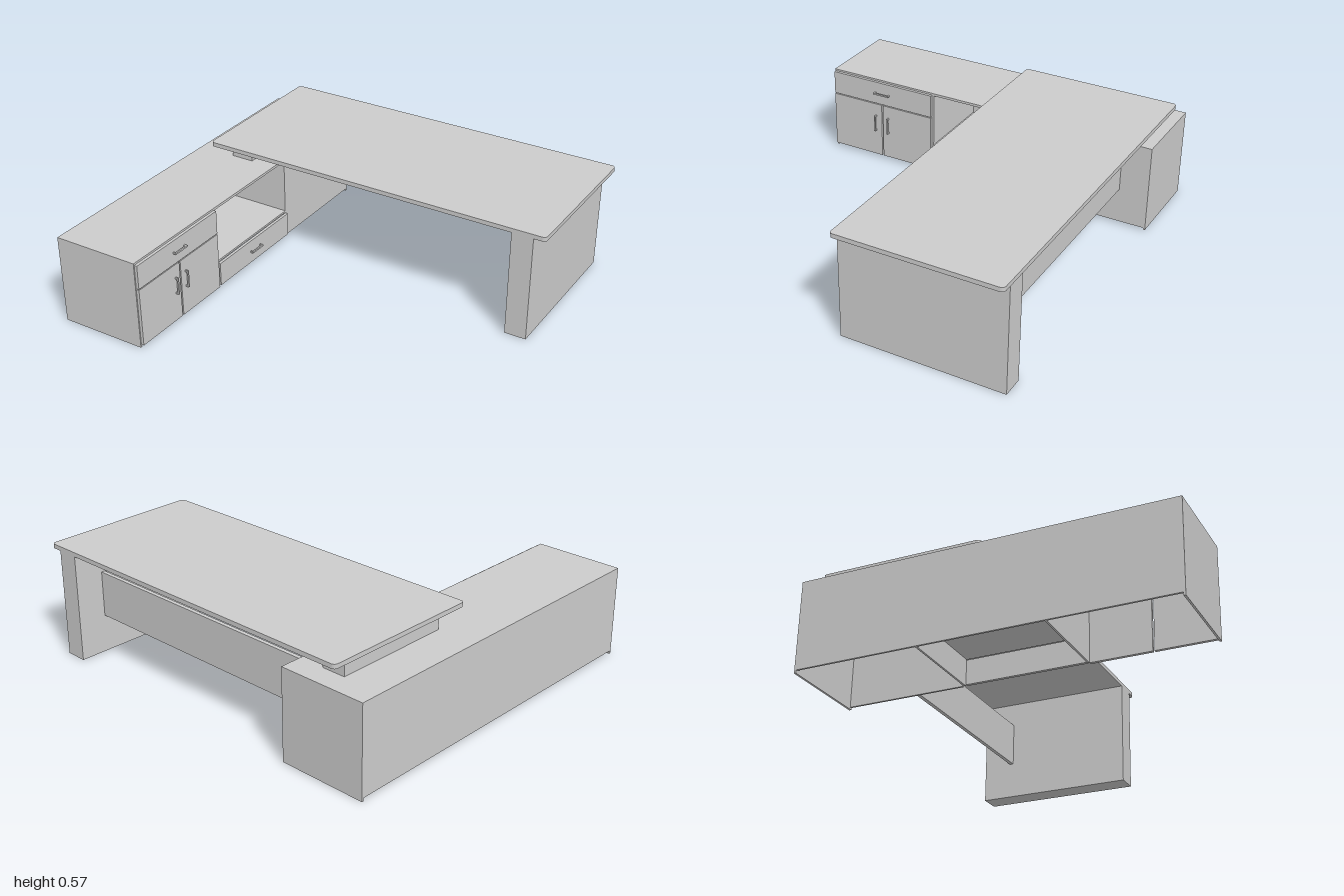
import * as THREE from 'three';

export function createModel() {
  const model = new THREE.Group();
  model.name = 'executiveDesk';
  const material = new THREE.MeshStandardMaterial({ color: 0xcccccc });

  // Box given by its limits on each axis
  function panel(name, [x0, x1], [y0, y1], [z0, z1], parent = model) {
    const mesh = new THREE.Mesh(new THREE.BoxGeometry(x1 - x0, y1 - y0, z1 - z0), material);
    mesh.position.set((x0 + x1) / 2, (y0 + y1) / 2, (z0 + z1) / 2);
    mesh.name = name;
    parent.add(mesh);
    return mesh;
  }

  // Desk top: rounded rectangle, extruded upwards
  const [x0, x1, z0, z1, r] = [-0.85, 1, -0.91, -0.088, 0.02];
  const outline = new THREE.Shape();
  outline.moveTo(x0 + r, -z1);
  outline.lineTo(x1 - r, -z1);
  outline.absarc(x1 - r, -z1 + r, r, -Math.PI / 2, 0);
  outline.absarc(x1 - r, -z0 - r, r, 0, Math.PI / 2);
  outline.absarc(x0 + r, -z0 - r, r, Math.PI / 2, Math.PI);
  outline.absarc(x0 + r, -z1 + r, r, Math.PI, Math.PI * 1.5);
  const topGeometry = new THREE.ExtrudeGeometry(outline, { depth: 0.022, bevelEnabled: false, curveSegments: 6 });
  topGeometry.rotateX(-Math.PI / 2);
  const deskTop = new THREE.Mesh(topGeometry, material);
  deskTop.position.y = 0.545;
  deskTop.name = 'deskTop';
  model.add(deskTop);

  // Desk supports
  panel('deskLeg', [0.83, 0.94], [0, 0.545], [-0.908, -0.088]);
  panel('modestyPanel', [-0.55, 0.83], [0.19, 0.42], [-0.76, -0.74]);
  panel('deskSpacer', [-0.8, -0.68], [0.455, 0.545], [-0.8, -0.2]);

  // Side cabinet carcass, open underneath
  const cabinet = new THREE.Group();
  cabinet.name = 'sideCabinet';
  model.add(cabinet);
  const t = 0.01;
  const depth = [-1, -0.55];
  const inner = [-1 + t, -0.55];
  panel('cabinetTop', depth, [0.442, 0.455], [-0.91, 0.91], cabinet);
  panel('cabinetBack', [-1, -1 + t], [0.015, 0.442], [-0.9, 0.9], cabinet);
  for (const s of [-1, 1]) {
    panel('cabinetEnd', depth, [0, 0.442], s > 0 ? [0.9, 0.91] : [-0.91, -0.9], cabinet);
    panel('cabinetPartition', inner, [0.015, 0.442], [s * 0.303 - t / 2, s * 0.303 + t / 2], cabinet);
  }
  panel('closedSide', [-0.56, -0.55], [0.01, 0.442], [-0.9, -0.308], cabinet);
  panel('nicheShelf', inner, [0.145, 0.155], [-0.298, 0.298], cabinet);
  panel('drawerShelf', inner, [0.315, 0.325], [0.308, 0.9], cabinet);

  // Drawer and door fronts
  const front = [-0.55, -0.535];
  panel('upperDrawerFront', front, [0.321, 0.445], [0.308, 0.905], cabinet);
  panel('doorFront', front, [0.015, 0.316], [0.308, 0.602], cabinet);
  panel('doorFront', front, [0.015, 0.316], [0.61, 0.905], cabinet);
  panel('nicheDrawerFront', front, [0.02, 0.143], [-0.298, 0.298], cabinet);

  // Bar handles: a slim grip on two posts
  function handle(name, y, z, upright) {
    const group = new THREE.Group();
    group.name = name;
    panel('grip', [0.01, 0.018], [-0.004, 0.004], [-0.045, 0.045], group);
    for (const s of [-1, 1]) {
      panel('post', [0, 0.01], [-0.004, 0.004], [s * 0.041 - 0.004, s * 0.041 + 0.004], group);
    }
    group.position.set(-0.535, y, z);
    if (upright) group.rotation.x = Math.PI / 2;
    cabinet.add(group);
  }
  handle('upperDrawerHandle', 0.383, 0.605, false);
  handle('nicheDrawerHandle', 0.083, 0, false);
  handle('doorHandle', 0.205, 0.568, true);
  handle('doorHandle', 0.205, 0.645, true);

  return model;
}
